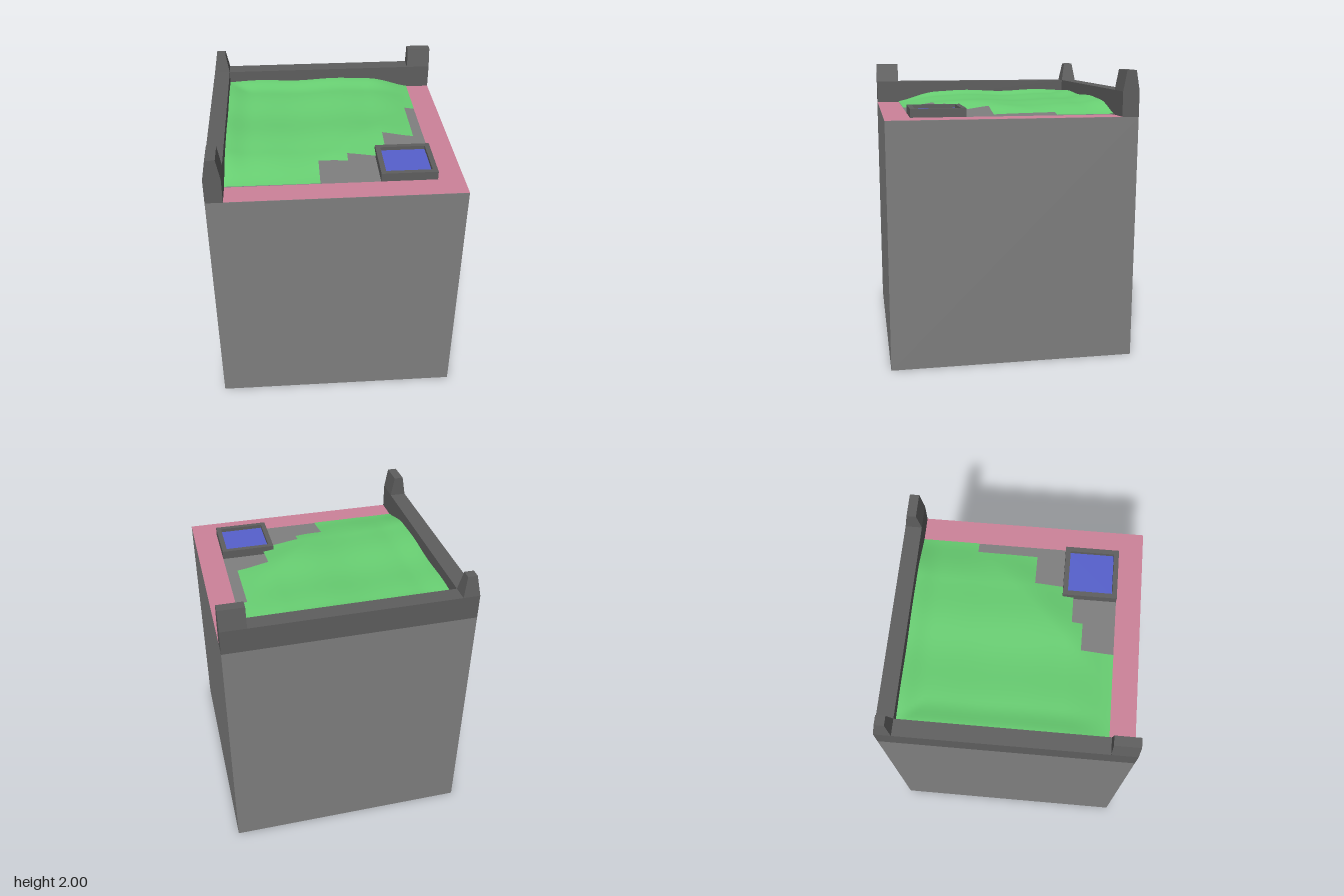
import * as THREE from 'three';

const EDGE = 0.845, INNER = 0.73, OPEN = 0.672;   // outer face, wall inner face, lawn's open edge
const GROUND = 1.69, WALL_TOP = 1.86, POST_TOP = 2;

const mat = (color, extra = {}) => new THREE.MeshStandardMaterial({ color, ...extra });
const stone = mat(0x7f7f7f);
const darkStone = mat(0x5e5e5e);
const paving = mat(0xcc8299);
const grass = mat(0x68cf72, { side: THREE.DoubleSide });
const waterBlue = mat(0x5660cc);

// Box given by its limits; the top face can be inset in x and z
function block(name, [x0, x1], [y0, y1], [z0, z1], material, insetX = 0, insetZ = 0) {
  const w = x1 - x0, d = z1 - z0;
  const geo = new THREE.BoxGeometry(w, y1 - y0, d);
  const p = geo.attributes.position;
  for (let i = 0; i < p.count; i++) {
    if (p.getY(i) > 0) {
      p.setX(i, p.getX(i) * (1 - 2 * insetX / w));
      p.setZ(i, p.getZ(i) * (1 - 2 * insetZ / d));
    }
  }
  geo.computeVertexNormals();
  const mesh = new THREE.Mesh(geo, material);
  mesh.name = name;
  mesh.position.set((x0 + x1) / 2, (y0 + y1) / 2, (z0 + z1) / 2);
  return mesh;
}

const smooth = THREE.MathUtils.smoothstep;

// Height of the turf: banked up against the two walls, falling to the open sides
function turfHeight(x, z) {
  const toOpen = Math.min(OPEN - x, OPEN - z);
  const toCorner = (0.8 - x - z) * 0.7;
  const fall = smooth(toOpen, -0.04, 0.32) * smooth(toCorner, -0.08, 0.35);
  const nearWall = Math.min(x + INNER, z + INNER);
  const bank = Math.pow(1 - smooth(nearWall, 0, 0.2), 1.5);
  const ripple = 0.006 * Math.sin(10.5 * x + 0.6) + 0.006 * Math.sin(10.5 * z + 0.4);
  return GROUND + 0.004 + fall * (0.055 + 0.035 * bank + ripple);
}

// Stepped stone areas left bare of turf: [x0, x1, z0, z1]
const BARE = [
  [-0.115, 0.68, 0.445, 0.68],
  [0.09, 0.68, 0.37, 0.68],
  [0.295, 0.68, 0.295, 0.68],
  [0.37, 0.68, 0.09, 0.68],
  [0.6, 0.68, -0.32, 0.68],
];

function makeLawn() {
  const n = 56, size = INNER + OPEN, mid = (OPEN - INNER) / 2;
  const geo = new THREE.PlaneGeometry(size, size, n, n);
  geo.rotateX(-Math.PI / 2);
  geo.translate(mid, 0, mid);
  const p = geo.attributes.position;
  for (let i = 0; i < p.count; i++) p.setY(i, turfHeight(p.getX(i), p.getZ(i)));
  geo.computeVertexNormals();

  // Leave out the cells lying on bare stone
  const idx = geo.index.array, kept = [];
  for (let i = 0; i < idx.length; i += 6) {
    const a = idx[i], c = idx[i + 4];
    const x = (p.getX(a) + p.getX(c)) / 2, z = (p.getZ(a) + p.getZ(c)) / 2;
    if (!BARE.some(([x0, x1, z0, z1]) => x > x0 && x < x1 && z > z0 && z < z1)) {
      for (let k = 0; k < 6; k++) kept.push(idx[i + k]);
    }
  }
  geo.setIndex(kept);
  const mesh = new THREE.Mesh(geo, grass);
  mesh.name = 'lawn';
  return mesh;
}

// L-shaped walkway along the two open sides
function makeWalkway() {
  const s = new THREE.Shape([
    [-INNER, -EDGE], [EDGE, -EDGE], [EDGE, INNER], [OPEN, INNER], [OPEN, -OPEN], [-INNER, -OPEN],
  ].map(([x, y]) => new THREE.Vector2(x, y)));
  const mesh = new THREE.Mesh(new THREE.ShapeGeometry(s), paving);
  mesh.name = 'walkway';
  mesh.rotation.x = -Math.PI / 2;
  mesh.position.y = GROUND + 0.002;
  return mesh;
}

// Square basin with a raised rim and water
function makePool() {
  const pool = new THREE.Group();
  pool.name = 'pool';
  const half = 0.188, hole = 0.154, c = 0.483;
  const square = (r, T) => new T([[-r, -r], [r, -r], [r, r], [-r, r]].map(([x, y]) => new THREE.Vector2(x, y)));
  const shape = square(half, THREE.Shape);
  shape.holes.push(square(hole, THREE.Path));
  const rim = new THREE.Mesh(new THREE.ExtrudeGeometry(shape, { depth: 0.06, bevelEnabled: false }), darkStone);
  rim.name = 'poolRim';
  rim.rotation.x = -Math.PI / 2;
  const water = new THREE.Mesh(new THREE.PlaneGeometry(hole * 2, hole * 2), waterBlue);
  water.name = 'water';
  water.rotation.x = -Math.PI / 2;
  water.position.y = 0.035;
  pool.add(rim, water);
  pool.position.set(c, GROUND, c);
  return pool;
}

export function createModel() {
  const model = new THREE.Group();
  model.name = 'walledRoofGarden';

  model.add(block('baseBlock', [-EDGE, EDGE], [0, GROUND], [-EDGE, EDGE], stone));
  model.add(makeWalkway(), makeLawn(), makePool());

  // Low walls on the back and right sides
  const thick = [-EDGE, -INNER], height = [GROUND, WALL_TOP];
  model.add(block('backWall', [-EDGE, EDGE], height, thick, darkStone));
  model.add(block('sideWall', thick, height, [-INNER, EDGE], darkStone));

  // Tapered posts at the corner and at both wall ends
  const rise = [WALL_TOP, POST_TOP], inset = 0.025;
  model.add(block('cornerPost', thick, rise, thick, darkStone, inset, inset));
  model.add(block('backWallPost', [OPEN, EDGE], rise, thick, darkStone, 0, inset));
  model.add(block('sideWallPost', thick, rise, [OPEN, EDGE], darkStone, inset, 0));

  return model;
}
